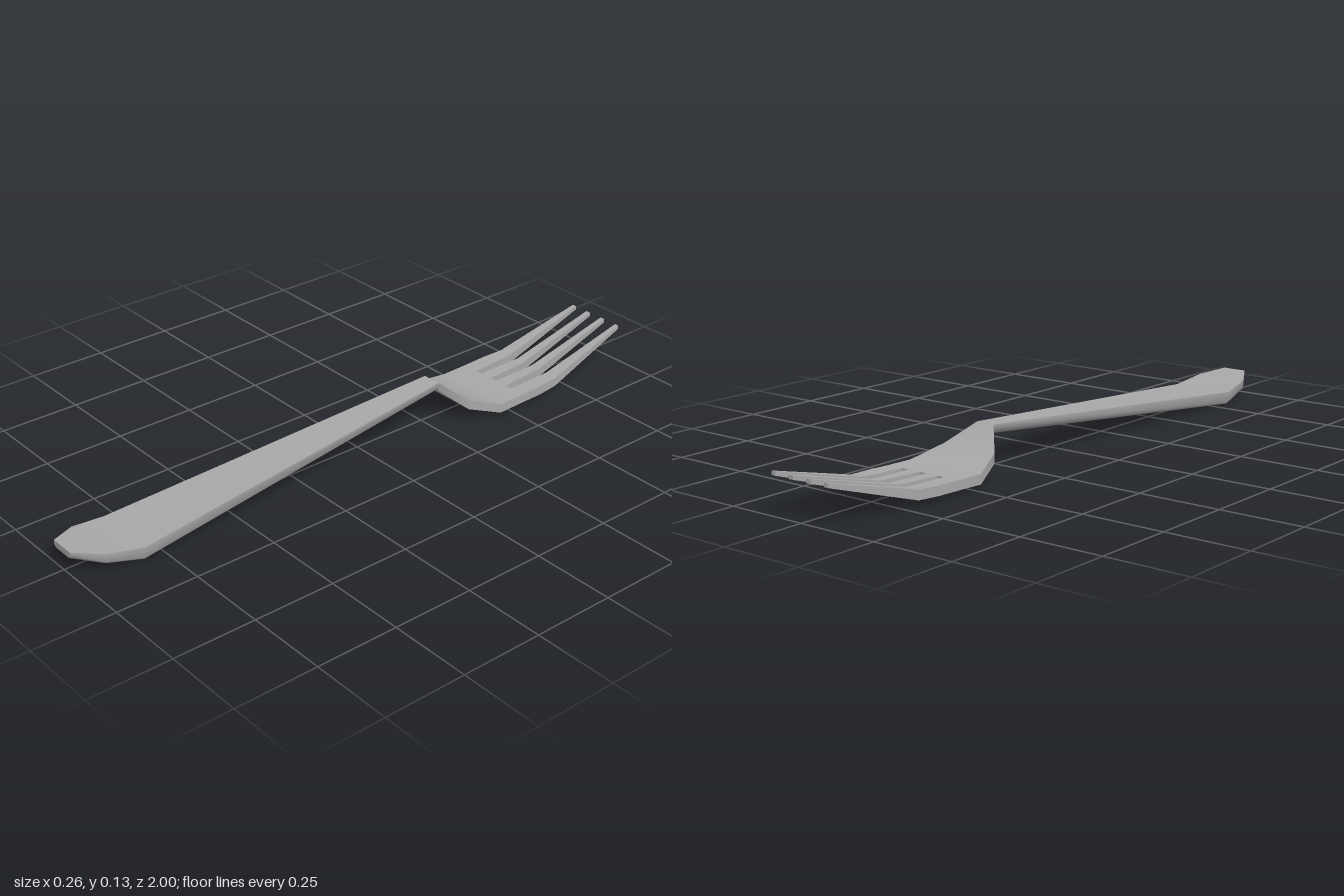
import * as THREE from 'three';
import { toCreasedNormals } from 'three/addons/utils/BufferGeometryUtils.js';

const steel = new THREE.MeshStandardMaterial({ color: 0xa8a8a8 });
steel.name = 'steel grey';

// Heights of the bent head: [z, top, underside]
const bend = [
  [-0.29, 0.128, 0.102], [-0.36, 0.07, 0.04], [-0.46, 0.037, 0.008],
  [-0.55, 0.039, 0.011], [-0.63, 0.042, 0.013], [-0.7, 0.045, 0.016], [-1, 0.122, 0.11],
];

// Skins stations [z, xLeft, xRight, top, underside], ordered front to back
function loft(name, stations, bevel = 0) {
  const rings = stations.map(([z, x0, x1, top, bot]) => {
    const ring = [[x1, top, z], [x0, top, z]];
    if (bevel) ring.push([x0, bot + bevel, z], [x0 + bevel, bot, z], [x1 - bevel, bot, z], [x1, bot + bevel, z]);
    else ring.push([x0, bot, z], [x1, bot, z]);
    return ring;
  });
  const n = rings[0].length;
  const index = [];
  for (let i = 0; i < rings.length - 1; i++) {
    for (let k = 0; k < n; k++) {
      const a = i * n + k, b = i * n + (k + 1) % n;
      index.push(a, a + n, b, b, a + n, b + n);
    }
  }
  const last = (rings.length - 1) * n;
  for (let k = 1; k < n - 1; k++) {
    index.push(0, k, k + 1, last, last + k + 1, last + k);
  }
  const geometry = new THREE.BufferGeometry();
  geometry.setAttribute('position', new THREE.Float32BufferAttribute(rings.flat(2), 3));
  geometry.setIndex(index);
  const mesh = new THREE.Mesh(toCreasedNormals(geometry, 0.9), steel);
  mesh.name = name;
  return mesh;
}

export function createModel() {
  const fork = new THREE.Group();
  fork.name = 'fork';

  // Tapered handle with an upturned end and softened lower edges
  fork.add(loft('handle', [
    [1, 0.04, 0.075, 0.055], [0.92, 0.086, 0.06, 0.028],
    [0.81, 0.1, 0.042, 0.002], [-0.29, 0.03, 0.128, 0.102],
  ].map(([z, w, top, bot]) => [z, -w, w, top, bot]), 0.008));

  // Palm flaring out from the neck
  const palmWidths = [0.03, 0.092, 0.128, 0.128];
  fork.add(loft('palm', palmWidths.map((w, i) => [bend[i][0], -w, w, bend[i][1], bend[i][2]])));

  // Four tines: inner and outer edges at each bend station, mirrored
  const tines = {
    Outer: [[0.076, 0.128], [0.078, 0.128], [0.08, 0.122], [0.086, 0.1]],
    Inner: [[0.012, 0.053], [0.014, 0.05], [0.016, 0.047], [0.023, 0.039]],
  };
  for (const [kind, edges] of Object.entries(tines)) {
    for (const side of [1, -1]) {
      const stations = edges.map(([a, b], i) => {
        const [z, top, bot] = bend[i + 3];
        return side > 0 ? [z, a, b, top, bot] : [z, -b, -a, top, bot];
      });
      fork.add(loft((side > 0 ? 'left' : 'right') + kind + 'Tine', stations));
    }
  }
  return fork;
}
